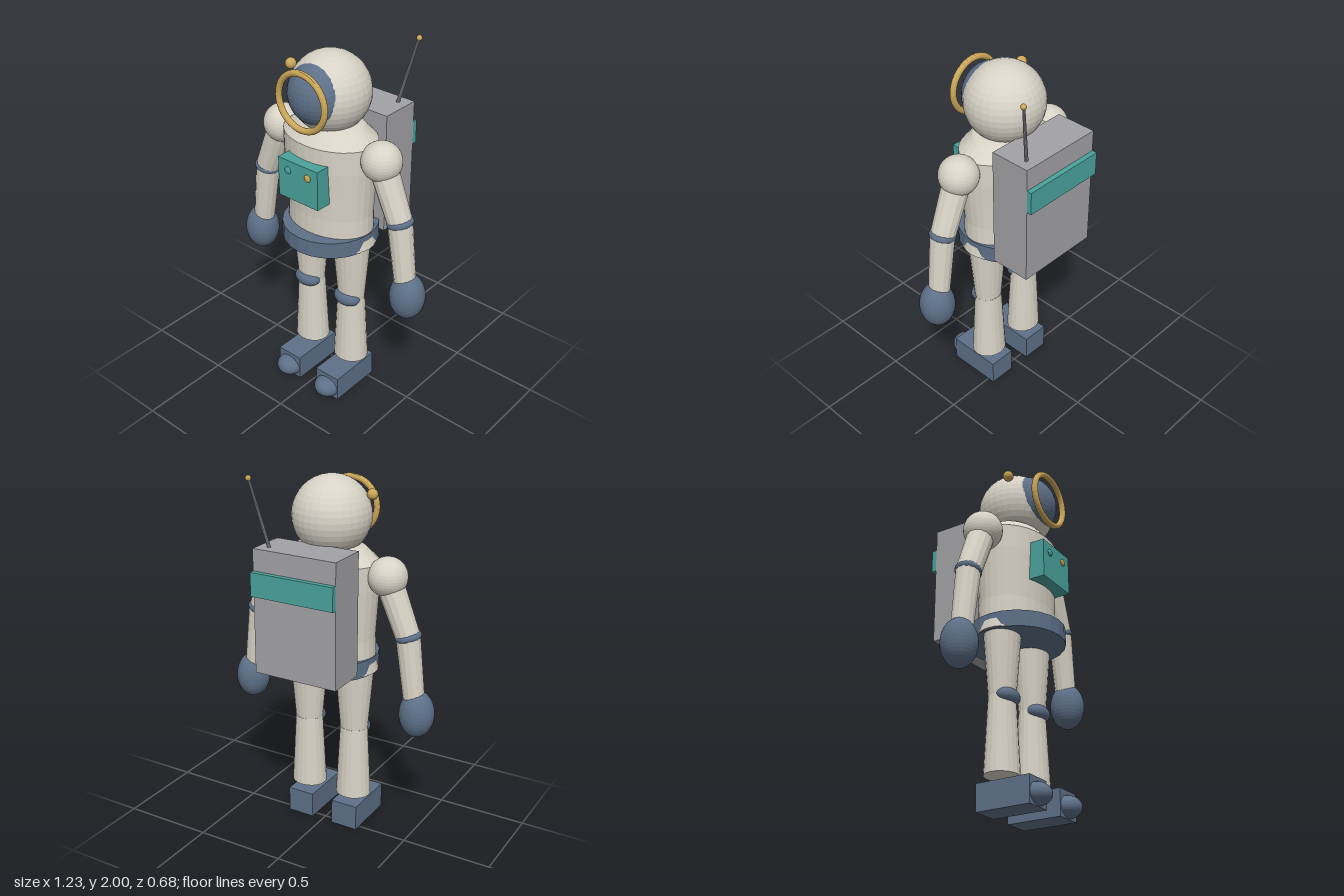
import * as THREE from 'three';

const mat = (name, color) => {
  const m = new THREE.MeshStandardMaterial({ color, flatShading: true });
  m.name = name;
  return m;
};

export function createModel() {
  const suit = mat('suit white', 0xd8d3c6);
  const blue = mat('slate blue', 0x5d7088);
  const teal = mat('teal', 0x4aa39d);
  const gold = mat('brass', 0xcaa658);
  const grey = mat('pack grey', 0xa2a2a6);
  const Z = 0.063; // body axis depth

  const root = new THREE.Group();
  root.name = 'spaceman';

  const add = (name, geo, m, x, y, z, parent = root) => {
    const mesh = new THREE.Mesh(geo, m);
    mesh.name = name;
    mesh.position.set(x, y, z);
    parent.add(mesh);
    return mesh;
  };
  const ball = (name, m, [x, y, z], [rx, ry, rz], parent, w = 32, h = 20) =>
    add(name, new THREE.SphereGeometry(1, w, h).scale(rx, ry, rz), m, x, y, z, parent);
  const box = (name, m, [x0, x1], [y0, y1], [z0, z1], parent) =>
    add(name, new THREE.BoxGeometry(x1 - x0, y1 - y0, z1 - z0), m,
      (x0 + x1) / 2, (y0 + y1) / 2, (z0 + z1) / 2, parent);
  // tapered rod between two points, with optional depth squash
  const rod = (name, m, a, b, ra, rb, sides, parent, squash = 1) => {
    const p = new THREE.Vector3(...a), q = new THREE.Vector3(...b);
    const d = q.clone().sub(p);
    const geo = new THREE.CylinderGeometry(rb, ra, d.length(), sides).scale(1, 1, squash);
    const c = p.add(q).multiplyScalar(0.5);
    const mesh = add(name, geo, m, c.x, c.y, c.z, parent);
    mesh.quaternion.setFromUnitVectors(new THREE.Vector3(0, 1, 0), d.normalize());
    return mesh;
  };

  // torso and belt
  const profile = [[0, 0.935], [0.268, 0.935], [0.252, 1.02], [0.25, 1.12], [0.258, 1.25],
    [0.268, 1.4], [0.27, 1.53], [0.19, 1.6], [0.12, 1.62], [0, 1.62]]
    .map(([r, y]) => new THREE.Vector2(r, y));
  add('torso', new THREE.LatheGeometry(profile, 32).scale(1, 1, 0.73), suit, 0, 0, Z);
  add('belt', new THREE.CylinderGeometry(0.258, 0.258, 0.09, 24), blue, 0, 0.975, Z);

  // helmet, visor and rim
  ball('helmet', suit, [0, 1.758, Z], [0.21, 0.21, 0.21]);
  ball('visor', blue, [0, 1.77, 0.14], [0.168, 0.168, 0.156]);
  add('visorRim', new THREE.TorusGeometry(0.148, 0.017, 12, 40), gold, 0, 1.767, 0.276);
  ball('helmetLamp', gold, [-0.195, 1.87, 0.135], [0.029, 0.029, 0.029], root, 16, 12);

  // chest control panel
  box('chestPanel', teal, [-0.13, 0.13], [1.228, 1.446], [0.2, 0.314]);
  ball('rightButton', teal, [-0.065, 1.39, 0.315], [0.02, 0.02, 0.01], root, 16, 10);
  ball('leftButton', gold, [0.065, 1.39, 0.315], [0.02, 0.02, 0.01], root, 16, 10);

  // backpack with antenna
  box('backpack', grey, [-0.24, 0.24], [0.963, 1.635], [-0.312, -0.085]);
  box('backpackBand', teal, [-0.24, 0.24], [1.39, 1.518], [-0.34, -0.3115]);
  rod('antenna', grey, [0.175, 1.61, -0.248], [0.258, 1.985, -0.304], 0.01, 0.007, 10);
  ball('antennaTip', gold, [0.259, 1.985, -0.304], [0.015, 0.015, 0.015], root, 16, 12);

  // limbs, one set per side
  for (const [side, s] of [['left', 1], ['right', -1]]) {
    const arm = new THREE.Group();
    arm.name = side + 'Arm';
    root.add(arm);
    ball('shoulder', suit, [s * 0.329, 1.476, Z], [0.105, 0.105, 0.105], arm);
    rod('upperArm', suit, [s * 0.335, 1.46, Z], [s * 0.455, 1.17, Z], 0.074, 0.066, 14, arm);
    const elbow = ball('elbow', blue, [s * 0.455, 1.175, Z], [0.071, 0.036, 0.071], arm);
    elbow.rotation.z = s * 0.28;
    rod('forearm', suit, [s * 0.455, 1.17, Z], [s * 0.5, 0.83, Z], 0.066, 0.058, 14, arm);
    ball('glove', blue, [s * 0.518, 0.753, Z], [0.095, 0.13, 0.095], arm);

    const leg = new THREE.Group();
    leg.name = side + 'Leg';
    root.add(leg);
    rod('thigh', suit, [s * 0.142, 0.96, Z], [s * 0.143, 0.59, Z], 0.11, 0.078, 20, leg, 0.88);
    rod('shin', suit, [s * 0.143, 0.59, Z], [s * 0.143, 0.18, Z], 0.078, 0.1, 20, leg, 0.9);
    ball('kneePad', blue, [s * 0.143, 0.588, 0.098], [0.08, 0.048, 0.056], leg);
    box('boot', blue, s > 0 ? [0.063, 0.218] : [-0.218, -0.063], [0, 0.143], [-0.04, 0.268], leg);
    ball('toeCap', blue, [s * 0.142, 0.062, 0.26], [0.075, 0.058, 0.078], leg);
  }
  return root;
}
